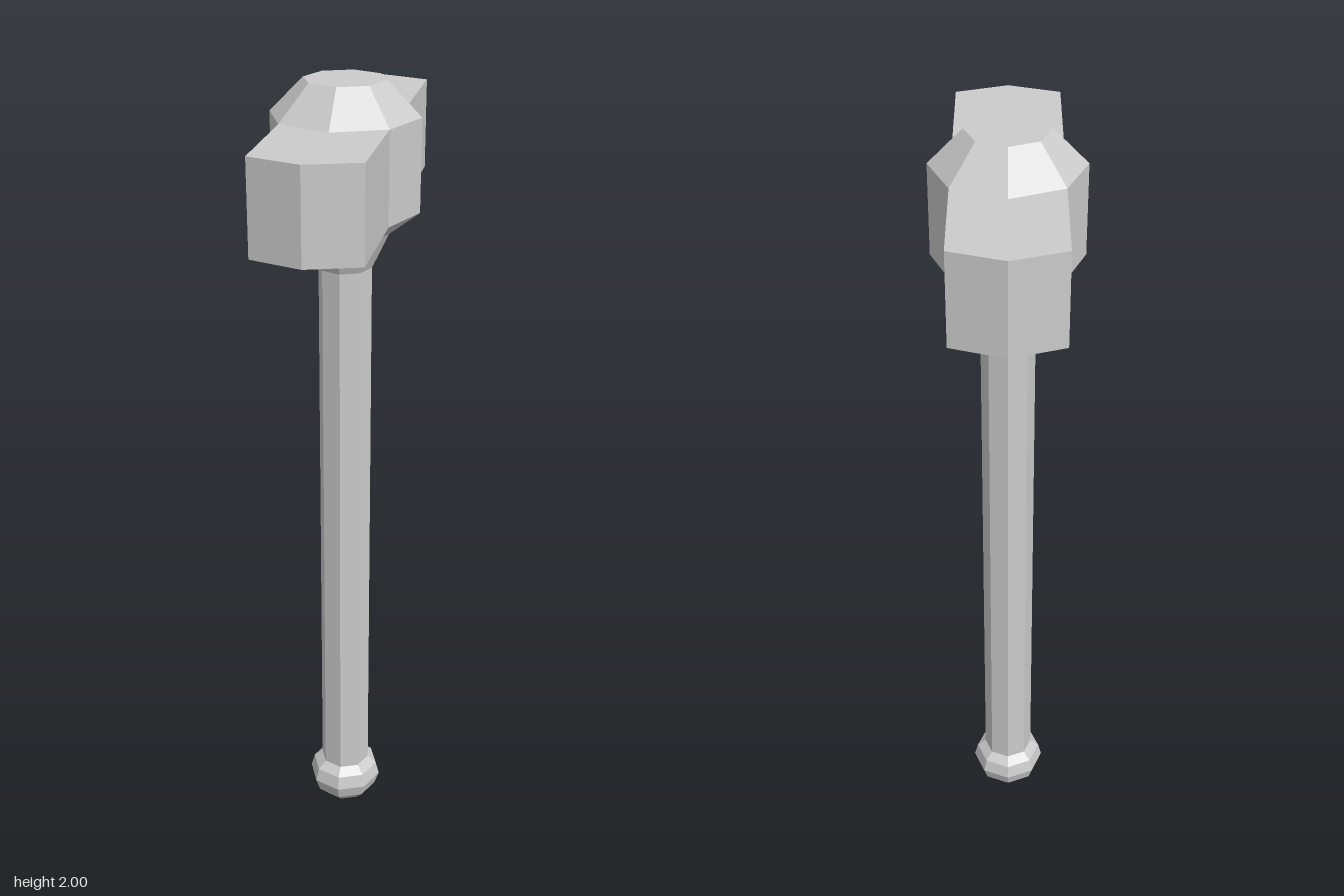
import * as THREE from 'three';

const material = new THREE.MeshStandardMaterial({ color: 0xcccccc, flatShading: true });

// Eight-sided turned part; profile is [radius, height] from bottom to top
function turned(name, profile) {
  const points = profile.map(([r, y]) => new THREE.Vector2(r, y));
  const mesh = new THREE.Mesh(new THREE.LatheGeometry(points, 8), material);
  mesh.name = name;
  return mesh;
}

export function createModel() {
  const model = new THREE.Group();
  model.name = 'hammer';

  // Rounded knob at the foot of the handle
  model.add(turned('pommel', [
    [0, 0], [0.055, 0], [0.085, 0.03], [0.097, 0.065], [0.088, 0.1], [0.065, 0.12], [0, 0.12],
  ]));

  // Straight shaft
  model.add(turned('handle', [[0.065, 0.12], [0.065, 1.56]]));

  // Flared collar, octagonal core and bevelled cap
  model.add(turned('headCore', [
    [0.065, 1.56], [0.105, 1.645], [0.177, 1.7], [0.177, 1.92], [0.097, 2], [0, 2],
  ]));

  // Long striking block with a shallow point on each face
  const outline = [
    [0.125, -0.405], [0.125, 0.405], [0, 0.447], [-0.125, 0.405], [-0.125, -0.405], [0, -0.447],
  ].map(([x, y]) => new THREE.Vector2(x, y));
  const block = new THREE.ExtrudeGeometry(new THREE.Shape(outline), { depth: 0.22, bevelEnabled: false });
  block.rotateX(-Math.PI / 2).translate(0, 1.7, 0);
  const head = new THREE.Mesh(block, material);
  head.name = 'hammerHead';
  model.add(head);

  return model;
}
